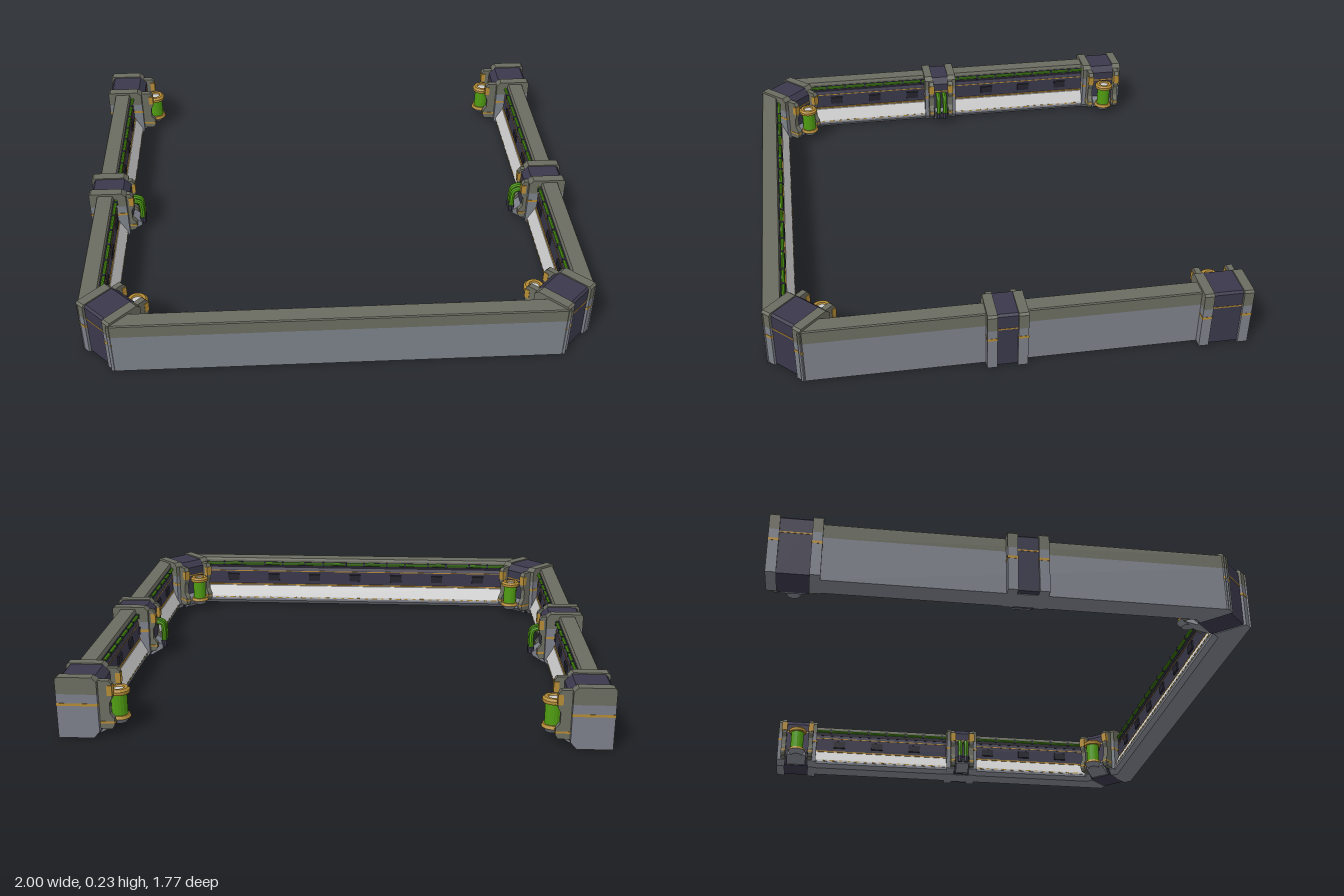
import * as THREE from 'three';

const mat = (color) => new THREE.MeshStandardMaterial({ color, flatShading: true });
const M = {
  grey: mat(0x7c8089), olive: mat(0x6b6c60), dark: mat(0x3a384b), deep: mat(0x24232e),
  gold: mat(0xb58c36), green: mat(0x4f9c12), light: mat(0xd2d2d2),
};

function add(parent, name, geo, material, x = 0, y = 0, z = 0) {
  const m = new THREE.Mesh(geo, material);
  m.name = name;
  m.position.set(x, y, z);
  parent.add(m);
  return m;
}

// Extrudes a (depth, height) profile along z; slopes k0, k1 mitre the two ends.
function prism(profile, z0, z1, k0 = 0, k1 = 0) {
  const shape = new THREE.Shape(profile.map(([u, y]) => new THREE.Vector2(u, y)));
  const geo = new THREE.ExtrudeGeometry(shape, { depth: 1, bevelEnabled: false });
  const p = geo.attributes.position;
  for (let i = 0; i < p.count; i++) {
    const u = p.getX(i);
    p.setZ(i, p.getZ(i) < 0.5 ? z0 + k0 * u : z1 + k1 * u);
  }
  geo.computeVertexNormals();
  return geo;
}

const rect = (u0, u1, y0, y1) => [[u0, y0], [u1, y0], [u1, y1], [u0, y1]];

// Local frame: x runs from the outer face inward, z runs along the wall.
function place(root, name, x, z, angle) {
  const g = new THREE.Group();
  g.name = name;
  g.position.set(x, 0, z);
  g.rotation.y = angle;
  root.add(g);
  return g;
}

function buildWall(g, z0, z1, k0, k1) {
  const run = (name, profile, m) => add(g, name, prism(profile, z0, z1, k0, k1), m);
  run('outerPanel', rect(0, 0.06, 0, 0.17), M.grey);
  run('topCap', [[0, 0.17], [0.068, 0.17], [0.068, 0.215], [0.064, 0.225], [0.003, 0.225], [0, 0.22]], M.olive);
  run('innerPanel', [[0.06, 0.09], [0.077, 0.09], [0.077, 0.165], [0.071, 0.18], [0.071, 0.207], [0.06, 0.207]], M.dark);
  run('recessGroove', rect(0.07, 0.0735, 0.178, 0.192), M.deep);
  run('ledgeBase', [[0.06, 0], [0.092, 0], [0.108, 0.018], [0.108, 0.03], [0.06, 0.03]], M.grey);
  run('ledge', [[0.06, 0.03], [0.11, 0.03], [0.11, 0.038], [0.082, 0.088], [0.06, 0.092]], M.light);
  run('ledgeTrim', rect(0.075, 0.081, 0.09, 0.096), M.gold);
  run('panelTrim', rect(0.075, 0.0785, 0.16, 0.164), M.gold);
  // conduit under the cap
  const ring = [];
  for (let i = 0; i < 8; i++) {
    const a = (i / 8) * Math.PI * 2;
    ring.push([0.077 + 0.0065 * Math.cos(a), 0.2 + 0.0065 * Math.sin(a)]);
  }
  run('conduit', ring, M.green);

  // raised boxes and lip dashes kept clear of the mitres
  const a = z0 + k0 * 0.11 + 0.03, b = z1 + k1 * 0.11 - 0.03;
  const n = Math.round((b - a) / 0.19);
  for (let i = 0; i < n; i++) {
    const z = a + ((i + 0.5) / n) * (b - a);
    add(g, 'panelBox', prism([[0.07, 0.11], [0.083, 0.114], [0.083, 0.146], [0.07, 0.152]], z - 0.028, z + 0.028), M.deep);
    for (const s of [-1, 1])
      add(g, 'conduitClip', new THREE.BoxGeometry(0.014, 0.018, 0.008), M.dark, 0.078, 0.2, z + s * 0.045);
  }
  const d = Math.round((b - a) / 0.04);
  for (let i = 0; i < d; i++) {
    const z = a + ((i + 0.5) / d) * (b - a);
    add(g, 'ledgeDash', new THREE.BoxGeometry(0.004, 0.005, i % 3 ? 0.014 : 0.026), M.gold, 0.1095, 0.034, z);
  }
}

// Framed post: dark core between two flanges, with inner clamps and a foot.
function buildPost(g, coreWidth, clampDepth) {
  const c = coreWidth / 2, f = 0.037;
  add(g, 'core', prism([[0.01, 0.003], [0.14, 0.003], [0.165, 0.035], [0.165, 0.205], [0.14, 0.23], [0.018, 0.23], [0.01, 0.222]], -c, c), M.dark);
  add(g, 'coreTrim', prism(rect(0.0085, 0.1665, 0.164, 0.169), -c, c), M.gold);
  for (const s of [-1, 1]) {
    const zi = s * c, zo = s * (c + f), lo = Math.min(zi, zo), hi = Math.max(zi, zo);
    add(g, 'flangeLower', prism([[0, 0], [0.13, 0], [0.152, 0.025], [0.152, 0.17], [0, 0.17]], lo, hi), M.grey);
    add(g, 'flangeUpper', prism([[0, 0.17], [0.152, 0.17], [0.152, 0.218], [0.135, 0.235], [0.008, 0.235], [0, 0.227]], lo, hi), M.olive);
    add(g, 'flangeTrim', prism(rect(-0.001, 0.153, 0.125, 0.135), lo - 0.001, hi + 0.001), M.gold);

    const e = clampDepth, z = s * (c + 0.008), t = 0.011;
    add(g, 'clamp', prism([[0.14, 0.03], [e - 0.01, 0.03], [e, 0.045], [e, 0.07], [e - 0.015, 0.09],
      [e - 0.015, 0.13], [e - 0.004, 0.15], [e - 0.004, 0.205], [e - 0.014, 0.218], [0.14, 0.218]], z - t, z + t), M.olive);
    add(g, 'clampCap', prism(rect(e - 0.022, e - 0.002, 0.16, 0.2), z - t - 0.002, z + t + 0.002), M.gold);
    add(g, 'clampBand', prism(rect(0.15, e + 0.001, 0.052, 0.06), z - t - 0.001, z + t + 0.001), M.gold);
  }
  add(g, 'foot', prism([[0.13, 0.004], [0.15, 0.004], [0.2, 0.035], [0.2, 0.05], [0.165, 0.075], [0.13, 0.075]], -c * 0.8, c * 0.8), M.grey);
}

// Upright glowing canister on a saucer
function buildCanister(g) {
  const u = 0.207;
  const cyl = (name, r0, r1, y0, y1, m) =>
    add(g, name, new THREE.CylinderGeometry(r1, r0, y1 - y0, 16), m, u, (y0 + y1) / 2, 0);
  cyl('canisterSaucer', 0.024, 0.04, 0.03, 0.05, M.grey);
  cyl('canisterBaseRing', 0.041, 0.036, 0.05, 0.062, M.gold);
  cyl('canisterTube', 0.03, 0.03, 0.062, 0.15, M.green);
  const top = [[0.02, 0.145], [0.04, 0.145], [0.042, 0.15], [0.042, 0.158], [0.034, 0.166], [0.022, 0.166], [0.018, 0.158]];
  add(g, 'canisterTopRing', new THREE.LatheGeometry(top.map(([r, y]) => new THREE.Vector2(r, y)), 16), M.gold, u, 0, 0);
  cyl('canisterLid', 0.022, 0.022, 0.148, 0.16, M.light);
  add(g, 'canisterArm', new THREE.BoxGeometry(0.05, 0.014, 0.03), M.dark, 0.175, 0.14, 0);
}

// Pair of bent pipes dropping from the post into its foot
function buildPipes(g) {
  for (const z of [-0.015, 0.015]) {
    const path = new THREE.CatmullRomCurve3([[0.15, 0.15], [0.185, 0.15], [0.2, 0.143], [0.205, 0.125], [0.205, 0.06]]
      .map(([u, y]) => new THREE.Vector3(u, y, z)));
    add(g, 'bentPipe', new THREE.TubeGeometry(path, 16, 0.011, 8), M.green);
    add(g, 'pipeSocket', new THREE.CylinderGeometry(0.014, 0.012, 0.03, 8), M.dark, 0.205, 0.055, z);
  }
}

export function createModel() {
  const root = new THREE.Group();
  root.name = 'perimeterWall';
  const PI = Math.PI;

  buildWall(place(root, 'rightWall', -0.967, 0, 0), -0.71, 0.76, 0, -1);
  buildWall(place(root, 'leftWall', 0.967, 0, PI), -0.76, 0.71, 1, 0);
  buildWall(place(root, 'frontWall', 0, 0.88, PI / 2), -0.85, 0.85, 1, -1);

  for (const s of [-1, 1]) {
    const side = s < 0 ? 'right' : 'left';
    const angle = s < 0 ? 0 : PI;
    const end = place(root, side + 'EndPost', s, -0.793, angle);
    const corner = place(root, side + 'CornerPost', s * 0.905, 0.815, s < 0 ? PI / 4 : PI * 0.75);
    for (const g of [end, corner]) {
      buildPost(g, 0.112, 0.205);
      buildCanister(g);
    }
    const middle = place(root, side + 'MiddlePost', s, 0.02, angle);
    buildPost(middle, 0.076, 0.182);
    buildPipes(middle);
  }
  return root;
}
